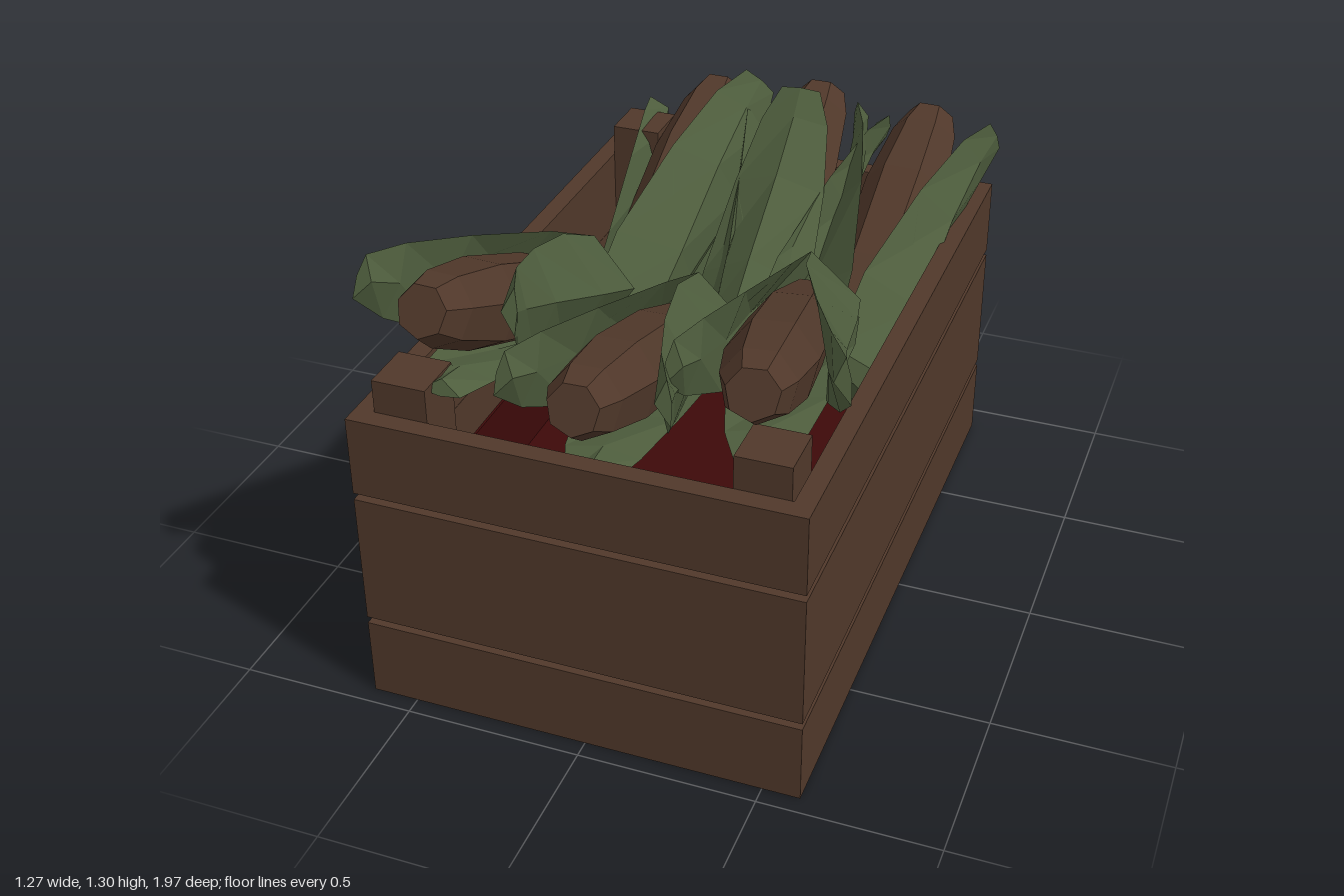
import * as THREE from 'three';

const wood = new THREE.MeshStandardMaterial({ color: 0x50382a });
wood.name = 'brown';
const leafGreen = new THREE.MeshStandardMaterial({ color: 0x4e5d3d, side: THREE.DoubleSide });
leafGreen.name = 'huskGreen';
const red = new THREE.MeshStandardMaterial({ color: 0x3d0909 });
red.name = 'darkRed';

// Box given by its minimum and maximum corners
function box(parent, name, mat, x0, x1, y0, y1, z0, z1) {
  const m = new THREE.Mesh(new THREE.BoxGeometry(x1 - x0, y1 - y0, z1 - z0), mat);
  m.position.set((x0 + x1) / 2, (y0 + y1) / 2, (z0 + z1) / 2);
  m.name = name;
  parent.add(m);
}

// Four boards forming a rectangular ring
function ring(parent, name, mat, x0, x1, y0, y1, z0, z1, t) {
  box(parent, name + 'Front', mat, x0, x1, y0, y1, z1 - t, z1);
  box(parent, name + 'Back', mat, x0, x1, y0, y1, z0, z0 + t);
  box(parent, name + 'Right', mat, x0, x0 + t, y0, y1, z0 + t, z1 - t);
  box(parent, name + 'Left', mat, x1 - t, x1, y0, y1, z0 + t, z1 - t);
}

function flat(geometry) {
  const g = geometry.toNonIndexed();
  g.computeVertexNormals();
  return g;
}

// Husk leaf stations: position along the ear, radius, half angle in degrees
const LEAF = [
  [0, 0.09, 80], [0.05, 0.15, 80], [0.3, 0.17, 74],
  [0.62, 0.18, 50], [0.84, 0.205, 30], [0.94, 0.23, 15],
];

// One thick husk leaf: a diamond section of edge, ridge, edge and inner point
function leafGeometry(length, angle) {
  const pos = [], idx = [];
  LEAF.forEach(([t, r, half], i) => {
    [[-1, 0], [0, 0], [1, 0], [0, 0.045]].forEach(([s, inset]) => {
      const a = THREE.MathUtils.degToRad(angle + s * half);
      pos.push(Math.sin(a) * (r - inset), Math.cos(a) * (r - inset), t * length);
    });
    if (i === 0) return;
    for (let k = 0; k < 4; k++) {
      const a = i * 4 - 4 + k, b = i * 4 - 4 + (k + 1) % 4;
      idx.push(a, a + 4, b, b, a + 4, b + 4);
    }
  });
  const e = LEAF.length * 4 - 4;
  idx.push(e, e + 3, e + 1, e + 1, e + 3, e + 2);
  const g = new THREE.BufferGeometry();
  g.setAttribute('position', new THREE.Float32BufferAttribute(pos, 3));
  g.setIndex(idx);
  return flat(g);
}

// Ear of corn from base to tip: two side leaves and a shorter one beneath, turned by roll
function ear(name, base, tip, roll) {
  const g = new THREE.Group();
  g.name = name;
  const from = new THREE.Vector3(...base), to = new THREE.Vector3(...tip);
  const length = from.distanceTo(to);
  const profile = [[0, 0.03], [0.07, 0.03], [0.12, 0.4], [0.125, 0.72], [0.1, 0.92], [0.07, 1], [0, 1]]
    .map(([r, t]) => new THREE.Vector2(r, t * length));
  const cob = new THREE.Mesh(flat(new THREE.LatheGeometry(profile, 7).rotateX(Math.PI / 2)), wood);
  cob.name = 'cob';
  g.add(cob);
  for (const [angle, reach] of [[80, 1], [-80, 1], [180, 0.9]]) {
    const leaf = new THREE.Mesh(leafGeometry(length * reach, roll + angle), leafGreen);
    leaf.name = 'huskLeaf';
    g.add(leaf);
  }
  const end = new THREE.Mesh(new THREE.CircleGeometry(0.09, 6), leafGreen);
  end.name = 'huskEnd';
  g.add(end);
  g.position.copy(from);
  g.lookAt(to);
  return g;
}

export function createModel() {
  const model = new THREE.Group();
  model.name = 'crateOfCorn';

  // Crate walls: three rows of planks over an inset frame
  const crate = new THREE.Group();
  crate.name = 'crate';
  model.add(crate);
  [[0, 0.235], [0.255, 0.645], [0.665, 0.895]].forEach(([y0, y1], i) =>
    ring(crate, 'plankRow' + (i + 1), wood, -0.63, 0.605, y0, y1, -0.91, 0.95, 0.055));
  ring(crate, 'innerFrame', wood, -0.6, 0.575, 0.02, 0.88, -0.88, 0.92, 0.024);
  box(crate, 'bottom', wood, -0.58, 0.555, 0, 0.03, -0.86, 0.9);

  // Corner posts
  for (const x of [-0.575, 0.395])
    for (const z of [-0.855, 0.745])
      box(crate, 'cornerPost', wood, x, x + 0.15, 0.03, 0.99, z, z + 0.15);

  // Lining: floor, low sides, and its edge just showing through the lowest gap
  box(crate, 'lining', red, -0.575, 0.55, 0.235, 0.252, -0.855, 0.895);
  ring(crate, 'liningSide', red, -0.576, 0.551, 0.252, 0.5, -0.856, 0.896, 0.008);
  box(crate, 'liningEdgeFront', red, -0.41, 0.42, 0.241, 0.25, 0.915, 0.923);
  for (const x of [-0.603, 0.57])
    box(crate, 'liningEdgeSide', red, x, x + 0.008, 0.241, 0.25, -0.7, 0.75);

  // Ears leaning on the front wall, then on the back wall
  model.add(
    ear('frontEarRight', [-0.35, 0.83, 0.0], [-0.405, 1.235, 0.91], 0),
    ear('frontEarMiddle', [-0.02, 0.79, 0.01], [0.015, 1.08, 0.97], 0),
    ear('frontEarLeft', [0.27, 0.85, -0.11], [0.42, 1.13, 0.83], 0),
    ear('backEarRight', [-0.31, 0.61, -0.04], [-0.3, 1.06, -0.95], 30),
    ear('backEarMiddle', [0.06, 0.62, -0.04], [0.055, 1.12, -0.9], 180),
    ear('backEarLeft', [0.37, 0.61, -0.05], [0.4, 1.09, -0.91], 0),
  );
  return model;
}
